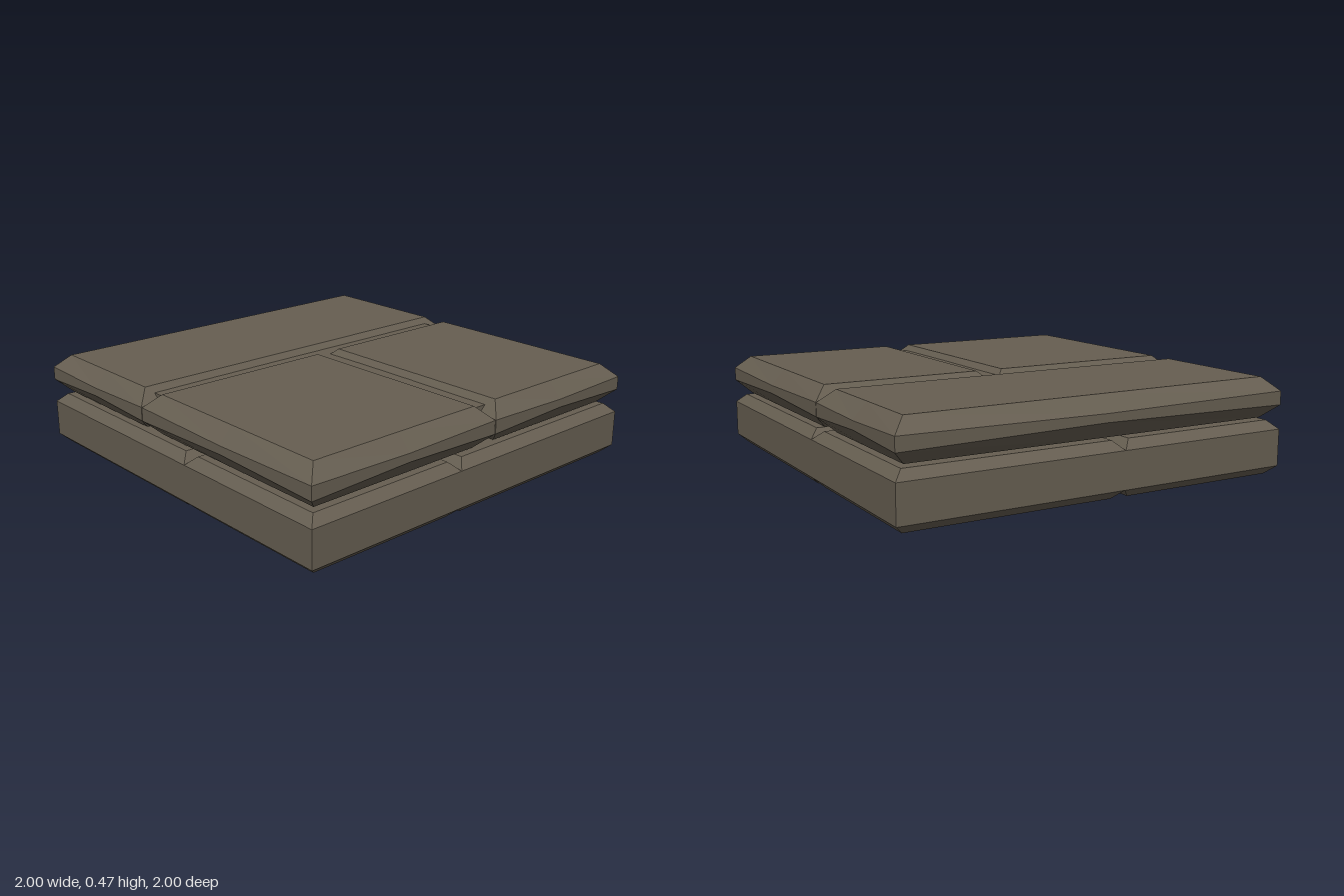
import * as THREE from 'three';

const stone = new THREE.MeshStandardMaterial({ color: 0x665e51 });
stone.name = 'stone';
const wood = new THREE.MeshStandardMaterial({ color: 0x5f4331 });
wood.name = 'wood';

// Chamfered block: plan is a list of [x, z] corners, standing from y0 to y1
function block(plan, y0, y1, inset, rise) {
  const shape = new THREE.Shape(plan.map(([x, z]) => new THREE.Vector2(x, -z)));
  const geo = new THREE.ExtrudeGeometry(shape, {
    depth: y1 - y0 - 2 * rise,
    bevelEnabled: true,
    bevelSegments: 1,
    bevelSize: inset,
    bevelOffset: -inset,
    bevelThickness: rise,
  });
  geo.rotateX(-Math.PI / 2);
  geo.translate(0, y0 + rise, 0);
  return geo;
}

function add(group, geo, material, name) {
  const mesh = new THREE.Mesh(geo, material);
  mesh.name = name;
  group.add(mesh);
  return mesh;
}

// Rectangular slab whose rim is worn slightly thinner at the middle of each side
function slab(x0, x1, z0, z1) {
  const cx = (x0 + x1) / 2, cz = (z0 + z1) / 2, low = 0.272, high = 0.468;
  const plan = [[x0, z0], [cx, z0], [x1, z0], [x1, cz], [x1, z1], [cx, z1], [x0, z1], [x0, cz]];
  const geo = block(plan, low, high, 0.068, 0.065);
  const p = geo.attributes.position;
  for (let i = 0; i < p.count; i++) {
    const y = p.getY(i);
    const middle = Math.abs(p.getX(i) - cx) < 0.01 || Math.abs(p.getZ(i) - cz) < 0.01;
    if (!middle || y < low + 0.01 || y > high - 0.01) continue;
    p.setY(i, y < (low + high) / 2 ? y + 0.016 : y - 0.01);
  }
  geo.computeVertexNormals();
  return geo;
}

export function createModel() {
  const model = new THREE.Group();
  model.name = 'stoneFloorTile';

  // Base frame: four L-shaped corner blocks meeting at off-centre seams
  const frame = new THREE.Group();
  frame.name = 'baseFrame';
  const inner = 0.67;
  const corners = [
    ['frontLeftBlock', 1, 1, 0.14, 0.14],
    ['backLeftBlock', 1, -1, -0.11, 0.14],
    ['backRightBlock', -1, -1, -0.11, 0.1],
    ['frontRightBlock', -1, 1, 0.14, 0.1],
  ];
  for (const [name, sx, sz, seamX, seamZ] of corners) {
    const plan = [
      [seamX, sz], [sx, sz], [sx, seamZ],
      [sx * inner, seamZ], [sx * inner, sz * inner], [seamX, sz * inner],
    ];
    add(frame, block(plan, 0, 0.262, 0.045, 0.042), stone, name);
  }
  model.add(frame);

  // Wooden beams spanning the frame from front to back
  const beams = new THREE.Group();
  beams.name = 'beams';
  for (const x of [-0.63, 0, 0.63]) {
    add(beams, new THREE.BoxGeometry(0.28, 0.235, 1.44), wood, 'beam').position.set(x, 0.1375, 0);
  }
  model.add(beams);

  // Paving slabs with the mortar bed that fills their joints
  const paving = new THREE.Group();
  paving.name = 'paving';
  add(paving, slab(-1, -0.185, -1, 1), stone, 'longSlab');
  add(paving, slab(-0.18, 1, -0.07, 1), stone, 'frontSlab');
  add(paving, slab(-0.18, 1, -1, -0.075), stone, 'backSlab');
  add(paving, new THREE.BoxGeometry(1.8, 0.12, 1.8), stone, 'mortarBed').position.y = 0.38;
  model.add(paving);

  return model;
}
